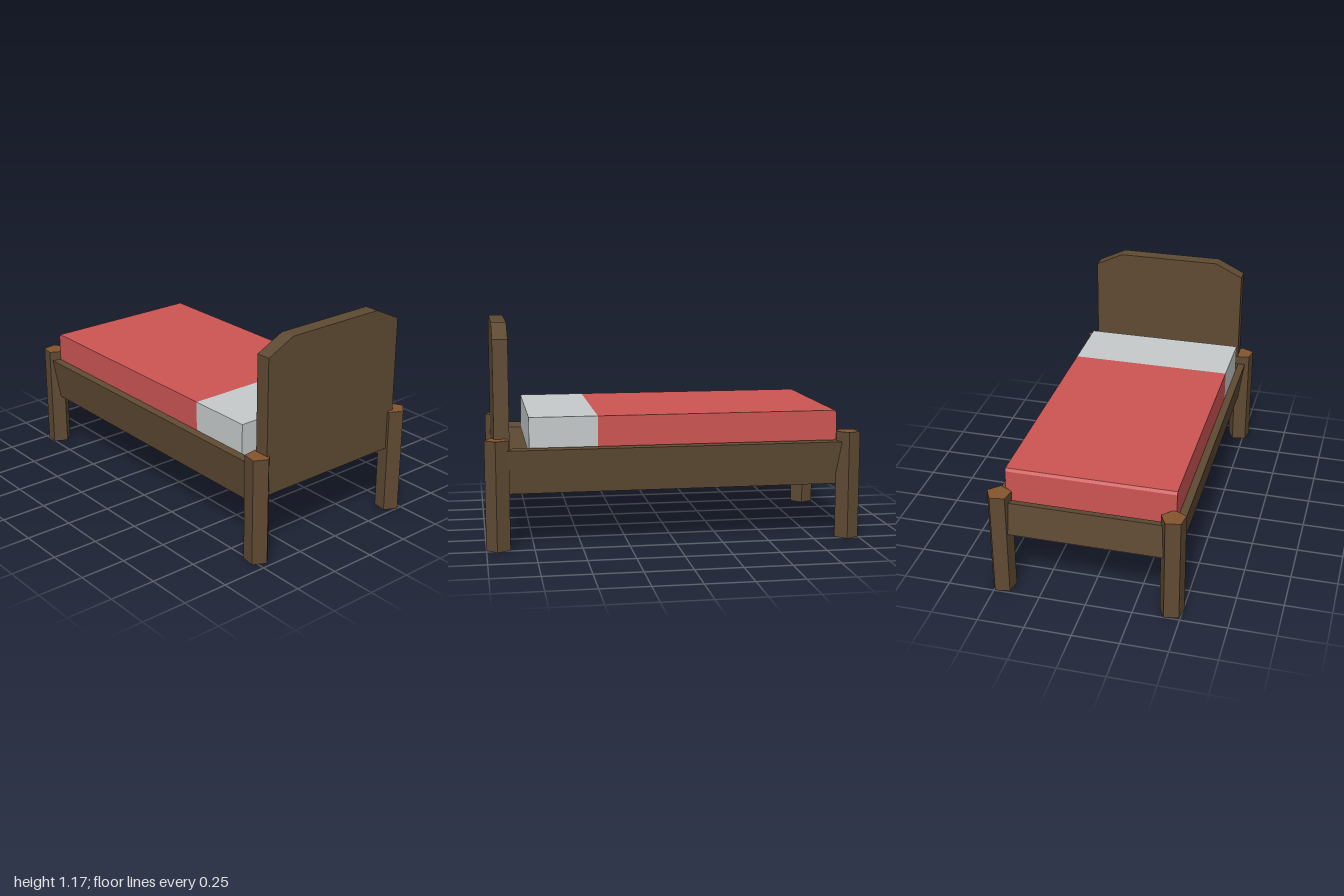
import * as THREE from 'three';

const paint = (name, color) => {
  const m = new THREE.MeshStandardMaterial({ color });
  m.name = name;
  return m;
};

export function createModel() {
  const wood = paint('brown wood', 0x5f4a33);
  const cutWood = paint('cut wood', 0x84552d);
  const red = paint('red blanket', 0xcc5553);
  const white = paint('white sheet', 0xc6caca);
  const bed = new THREE.Group();
  bed.name = 'bed';

  const add = (name, geometry, material, x = 0, y = 0, z = 0) => {
    const mesh = new THREE.Mesh(geometry, material);
    mesh.name = name;
    mesh.position.set(x, y, z);
    bed.add(mesh);
    return mesh;
  };
  // Box given by its limits on each axis
  const block = (name, material, [x0, x1], [y0, y1], [z0, z1]) =>
    add(name, new THREE.BoxGeometry(x1 - x0, y1 - y0, z1 - z0), material,
      (x0 + x1) / 2, (y0 + y1) / 2, (z0 + z1) / 2);

  // Five-sided posts with lighter cut tops, all turned the same way
  const legHeight = 0.58;
  const legGeometry = new THREE.CylinderGeometry(0.067, 0.067, legHeight, 5).toNonIndexed();
  legGeometry.computeVertexNormals();
  legGeometry.clearGroups();
  legGeometry.addGroup(0, 30, 0);
  legGeometry.addGroup(30, 15, 1);
  legGeometry.addGroup(45, 15, 0);
  const legs = [
    ['frontLeftLeg', 0.463, 0.935], ['frontRightLeg', -0.468, 0.912],
    ['backLeftLeg', 0.463, -0.938], ['backRightLeg', -0.446, -0.938],
  ];
  for (const [name, x, z] of legs) {
    const leg = add(name, legGeometry, [wood, cutWood], x, legHeight / 2, z);
    leg.rotation.y = Math.PI / 2 - THREE.MathUtils.degToRad(81);
    leg.rotation.y = Math.PI / 2 - Math.PI / 2 - THREE.MathUtils.degToRad(-9 + 18 - 18 + 18) + Math.PI / 10;
    // One corner points 9 degrees forward of +x
    leg.rotation.y = THREE.MathUtils.degToRad(9);
  }

  // Side rails, leaning outward at the top
  for (const [name, s] of [['leftRail', 1], ['rightRail', -1]]) {
    const rail = block(name, wood, [-0.02, 0.02], [0.295, 0.53], [-0.92, 0.92]);
    rail.position.x = s > 0 ? 0.463 : -0.455;
    rail.rotation.z = -s * 0.14;
  }

  // Foot rail, leaning inward at the top
  const footRail = block('footRail', wood, [-0.45, 0.45], [0.35, 0.53], [-0.962, -0.922]);
  footRail.rotation.x = 0.13;

  // Base under the mattress and plank behind the headboard
  block('base', wood, [-0.445, 0.445], [0.347, 0.5], [-0.92, 0.77]);
  block('headPlank', wood, [-0.445, 0.445], [0.36, 0.5], [0.765, 0.88]);

  // Headboard with cut upper corners
  const outline = new THREE.Shape([
    [-0.445, 0.365], [0.443, 0.365], [0.443, 1.095], [0.288, 1.17], [-0.29, 1.17], [-0.445, 1.095],
  ].map(([x, y]) => new THREE.Vector2(x, y)));
  add('headboard', new THREE.ExtrudeGeometry(outline, { depth: 0.08, bevelEnabled: false }), wood, 0, 0, 0.87);

  // Mattress: bare sheet at the head, blanket with a slightly chamfered foot end
  block('sheet', white, [-0.45, 0.445], [0.49, 0.69], [0.41, 0.77]);
  const side = new THREE.Shape([
    [-0.41, 0.49], [0.88, 0.49], [0.88, 0.675], [0.87, 0.69], [-0.41, 0.69],
  ].map(([z, y]) => new THREE.Vector2(z, y)));
  const blanket = add('blanket', new THREE.ExtrudeGeometry(side, { depth: 0.895, bevelEnabled: false }), red, -0.45);
  blanket.rotation.y = Math.PI / 2;

  return bed;
}
